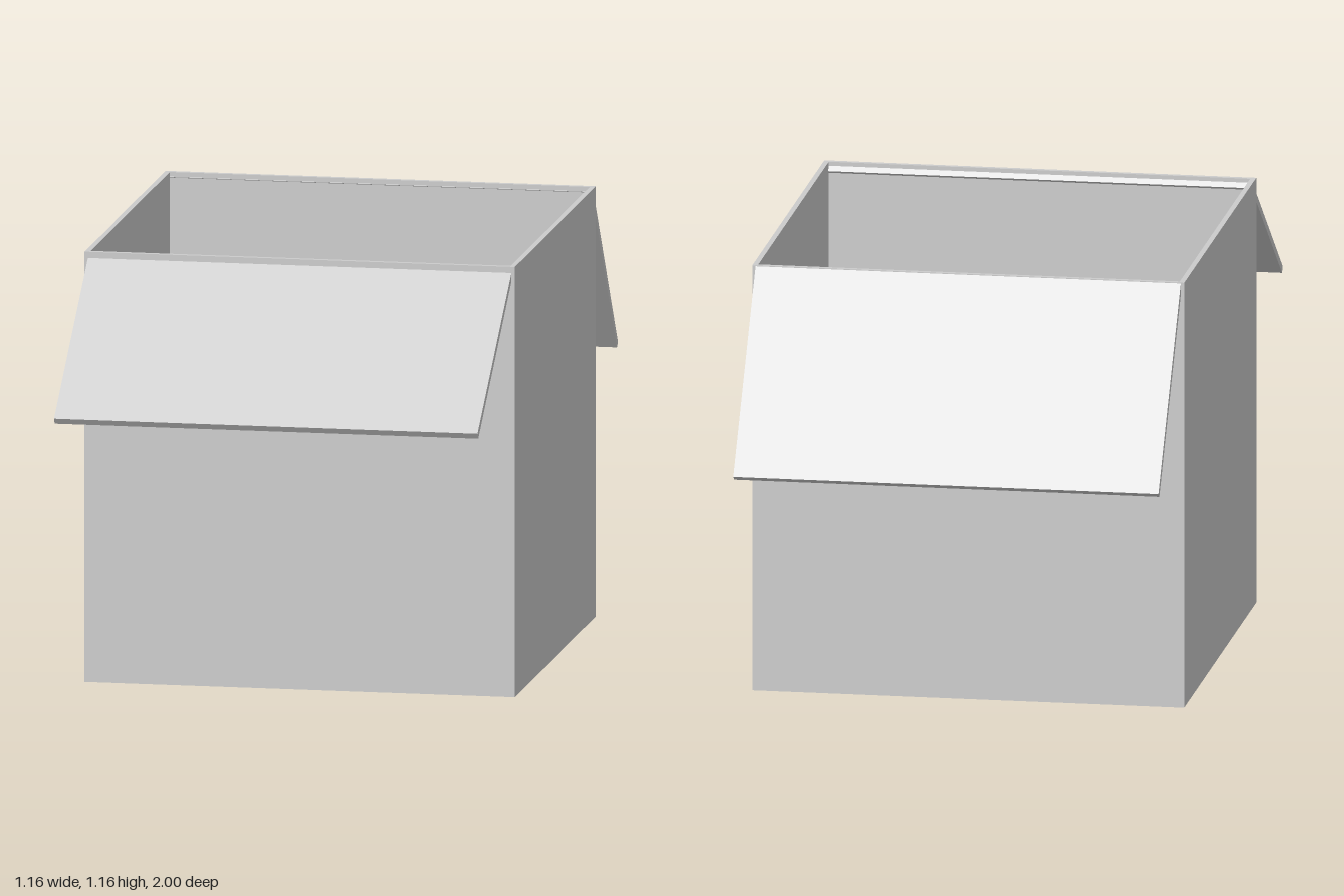
import * as THREE from 'three';

export function createModel() {
  const model = new THREE.Group();
  model.name = 'openBox';
  const cardboard = new THREE.MeshStandardMaterial({ color: 0xcccccc, flatShading: true });
  cardboard.name = 'plain grey';

  const half = 0.58, height = 1.16, wall = 0.014, centreZ = -0.06;

  // Hollow square body: a four-sided lathe from floor underside, over the rim, to floor top
  const r = Math.SQRT2;
  const profile = [
    [0, 0], [half * r, 0], [half * r, height],
    [(half - wall) * r, height], [(half - wall) * r, wall], [0, wall],
  ].map(([x, y]) => new THREE.Vector2(x, y));
  const body = new THREE.Mesh(new THREE.LatheGeometry(profile, 4, Math.PI / 4), cardboard);
  body.name = 'boxBody';
  body.position.z = centreZ;
  model.add(body);

  // Flaps hinge on their upper inner edge and slope down and away from the box
  const width = 1.142, thickness = 0.019, length = 0.605;
  const flapGeometry = new THREE.BoxGeometry(width, thickness, length);
  flapGeometry.translate(0, -thickness / 2, length / 2);

  function addFlap(name, y, z, turn, tilt) {
    const flap = new THREE.Mesh(flapGeometry, cardboard);
    flap.name = name;
    flap.position.set(0, y, z);
    flap.rotation.set(THREE.MathUtils.degToRad(tilt), turn, 0, 'YXZ');
    model.add(flap);
  }
  addFlap('frontFlap', 1.152, 0.508, 0, 35.6);
  addFlap('backFlap', 1.158, -0.64, Math.PI, 53.5);

  return model;
}
